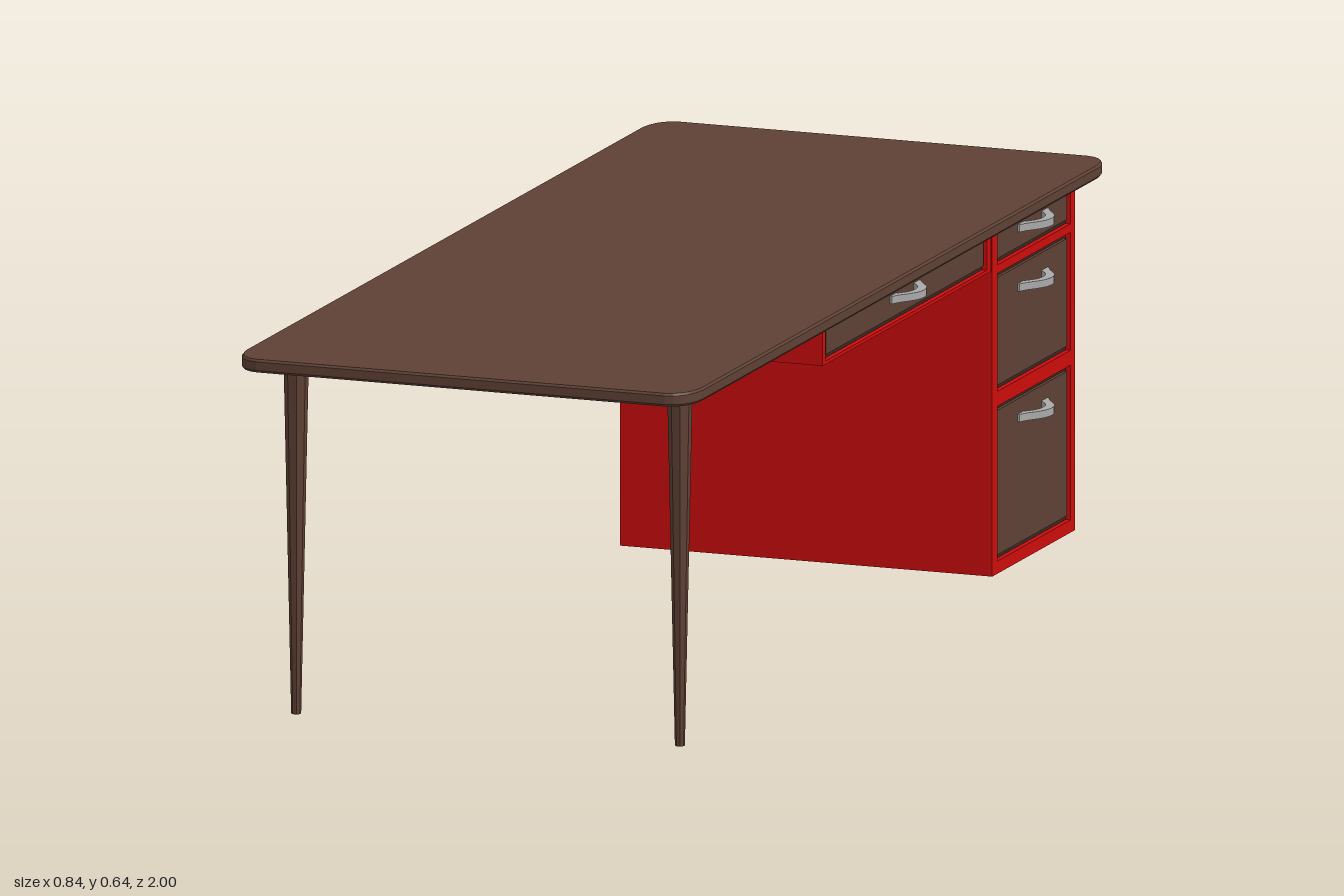
import * as THREE from 'three';

const mat = (color) => new THREE.MeshStandardMaterial({ color, flatShading: true });
const wood = mat(0x5f4135);
const darkWood = mat(0x3a271f);
const red = mat(0xcc0c0c);
const metal = mat(0xaaaaaa);

const FRONT = 0.387; // x of the drawer faces
const RECESS = 0.012; // depth of the openings around the drawers

function add(parent, name, geometry, material) {
  const mesh = new THREE.Mesh(geometry, material);
  mesh.name = name;
  parent.add(mesh);
  return mesh;
}

// Box from its min and max corners
function box(parent, name, material, [x0, y0, z0], [x1, y1, z1]) {
  const mesh = add(parent, name, new THREE.BoxGeometry(x1 - x0, y1 - y0, z1 - z0), material);
  mesh.position.set((x0 + x1) / 2, (y0 + y1) / 2, (z0 + z1) / 2);
  return mesh;
}

function rectPoints(z0, y0, z1, y1) {
  return [[-z1, y0], [-z0, y0], [-z0, y1], [-z1, y1]].map(([u, y]) => new THREE.Vector2(u, y));
}

// Bowed pull: a crescent strip, thin at the feet and thick in the middle
function handle(y, z) {
  const s = new THREE.Shape();
  s.moveTo(-0.07, -0.006);
  s.lineTo(-0.07, 0.006);
  s.bezierCurveTo(-0.045, 0.012, -0.035, 0.038, 0, 0.038);
  s.bezierCurveTo(0.035, 0.038, 0.045, 0.012, 0.07, 0.006);
  s.lineTo(0.07, -0.006);
  s.lineTo(0.052, -0.006);
  s.bezierCurveTo(0.035, 0.008, 0.025, 0.022, 0, 0.022);
  s.bezierCurveTo(-0.025, 0.022, -0.035, 0.008, -0.052, -0.006);
  const g = new THREE.ExtrudeGeometry(s, { depth: 0.013, bevelEnabled: false, curveSegments: 8 });
  // Shape x runs along z, shape y runs out along x, thickness runs up
  g.applyMatrix4(new THREE.Matrix4().set(0, 1, 0, FRONT - 0.005, 0, 0, 1, y - 0.0065, 1, 0, 0, z, 0, 0, 0, 1));
  return g;
}

// Carcass with a front frame, and a recessed drawer with a pull in each opening
function drawerUnit(name, [x0, y0, z0], [y1, z1], drawers) {
  const unit = new THREE.Group();
  unit.name = name;
  box(unit, 'carcass', red, [x0, y0, z0], [FRONT - RECESS, y1, z1]);

  const frame = new THREE.Shape(rectPoints(z0, y0, z1, y1));
  for (const d of drawers) {
    frame.holes.push(new THREE.Path(rectPoints(d.z0, d.y0, d.z1, d.y1).reverse()));
    box(unit, 'drawerSurround', darkWood,
      [FRONT - RECESS - 0.01, d.y0, d.z0], [FRONT - RECESS + 0.003, d.y1, d.z1]);
    const m = 0.009;
    box(unit, 'drawerFront', wood,
      [FRONT - RECESS, d.y0 + m, d.z0 + m], [FRONT - 0.003, d.y1 - m, d.z1 - m]);
    add(unit, 'drawerHandle', handle(d.handleY, (d.z0 + d.z1) / 2), metal);
  }
  const g = new THREE.ExtrudeGeometry(frame, { depth: RECESS, bevelEnabled: false });
  g.rotateY(Math.PI / 2).translate(FRONT - RECESS, 0, 0);
  add(unit, 'frontFrame', g, red);
  return unit;
}

// Flat top with softly rounded corners
function tableTop() {
  const x0 = -0.42, x1 = 0.413, z = 1, a = 0.045, b = 0.065;
  const s = new THREE.Shape();
  s.moveTo(x0 + a, -z);
  s.lineTo(x1 - a, -z);
  s.quadraticCurveTo(x1 - 0.005, -z + 0.005, x1, -z + b);
  s.lineTo(x1, z - b);
  s.quadraticCurveTo(x1 - 0.005, z - 0.005, x1 - a, z);
  s.lineTo(x0 + a, z);
  s.quadraticCurveTo(x0 + 0.005, z - 0.005, x0, z - b);
  s.lineTo(x0, -z + b);
  s.quadraticCurveTo(x0 + 0.005, -z + 0.005, x0 + a, -z);
  const g = new THREE.ExtrudeGeometry(s, {
    depth: 0.015, bevelEnabled: true, bevelThickness: 0.004, bevelSize: 0.003,
    bevelOffset: -0.003, bevelSegments: 1, curveSegments: 5,
  });
  return g.rotateX(-Math.PI / 2).translate(0, 0.619, 0);
}

export function createModel() {
  const desk = new THREE.Group();
  desk.name = 'desk';

  add(desk, 'tableTop', tableTop(), wood);

  // Tapered legs at the open end
  for (const x of [-0.348, 0.35]) {
    const g = new THREE.CylinderGeometry(0.0215, 0.0085, 0.616, 8).rotateY(Math.PI / 8);
    add(desk, 'leg', g, wood).position.set(x, 0.308, 0.88);
  }

  // Pedestal with three drawers
  const z0 = -0.868, z1 = -0.523;
  desk.add(drawerUnit('pedestal', [-0.29, 0.011, -0.89], [0.616, -0.498], [
    { y0: 0.033, y1: 0.302, z0, z1, handleY: 0.26 },
    { y0: 0.328, y1: 0.533, z0, z1, handleY: 0.487 },
    { y0: 0.548, y1: 0.615, z0, z1, handleY: 0.59 },
  ]));

  // Wide shallow drawer under the top
  desk.add(drawerUnit('centreDrawer', [-0.007, 0.543, -0.492], [0.616, 0.302], [
    { y0: 0.549, y1: 0.615, z0: -0.473, z1: 0.288, handleY: 0.59 },
  ]));

  return desk;
}
